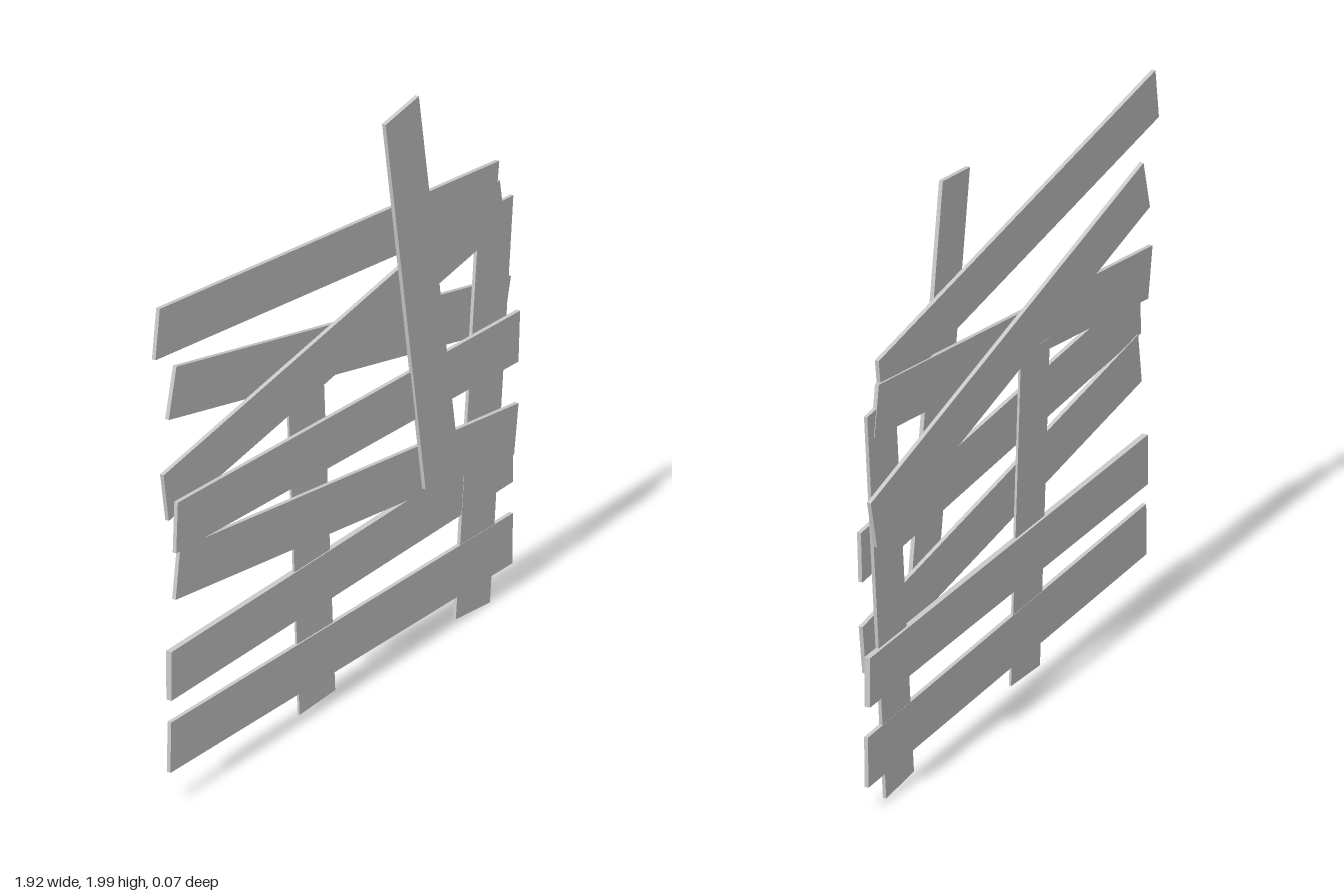
import * as THREE from 'three';

// name, centre line start [x, y, z], centre line end [x, y, z], width, thickness
const PLANKS = [
  ['leftPost', [-0.145, 1.17, -0.008], [-0.095, 0.035, 0], 0.19, 0.008],
  ['rightPost', [0.86, 1.408, -0.002], [0.732, 0.01, 0], 0.183, 0.012],
  ['bottomSlat', [-0.883, 0.21, 0], [0.943, 0.18, 0], 0.178, 0.014],
  ['lowerSlat', [-0.876, 0.46, -0.006], [0.948, 0.465, -0.006], 0.174, 0.02],
  ['slantedLowerSlat', [-0.857, 0.822, 0.009], [0.945, 0.573, 0.013], 0.176, 0.014],
  ['middleSlat', [-0.866, 0.991, 0.012], [0.954, 0.902, 0.018], 0.178, 0.014],
  ['risingSlat', [-0.902, 1.108, -0.004], [0.893, 1.397, -0.003], 0.177, 0.014],
  ['rearFallingSlat', [-0.838, 1.448, -0.026], [0.938, 1.018, -0.018], 0.178, 0.014],
  ['topSlat', [-0.952, 1.714, -0.001], [0.855, 1.474, 0.004], 0.175, 0.014],
  ['frontDiagonal', [0.322, 1.978, 0.023], [0.532, 0.588, 0.026], 0.18, 0.014],
];

// Flat board running between two points, its broad face turned to the front
function plank(name, start, end, width, thickness, material) {
  const a = new THREE.Vector3(...start);
  const b = new THREE.Vector3(...end);
  const along = b.clone().sub(a);
  const length = along.length();
  along.normalize();
  const across = new THREE.Vector3(0, 0, 1).cross(along).normalize();
  const facing = along.clone().cross(across);
  const mesh = new THREE.Mesh(new THREE.BoxGeometry(length, width, thickness), material);
  mesh.quaternion.setFromRotationMatrix(new THREE.Matrix4().makeBasis(along, across, facing));
  mesh.position.copy(a).add(b).multiplyScalar(0.5);
  mesh.name = name;
  return mesh;
}

export function createModel() {
  const group = new THREE.Group();
  group.name = 'brokenPlankFence';
  const material = new THREE.MeshStandardMaterial({ color: 0xcccccc, flatShading: true });
  for (const spec of PLANKS) group.add(plank(...spec, material));
  return group;
}
